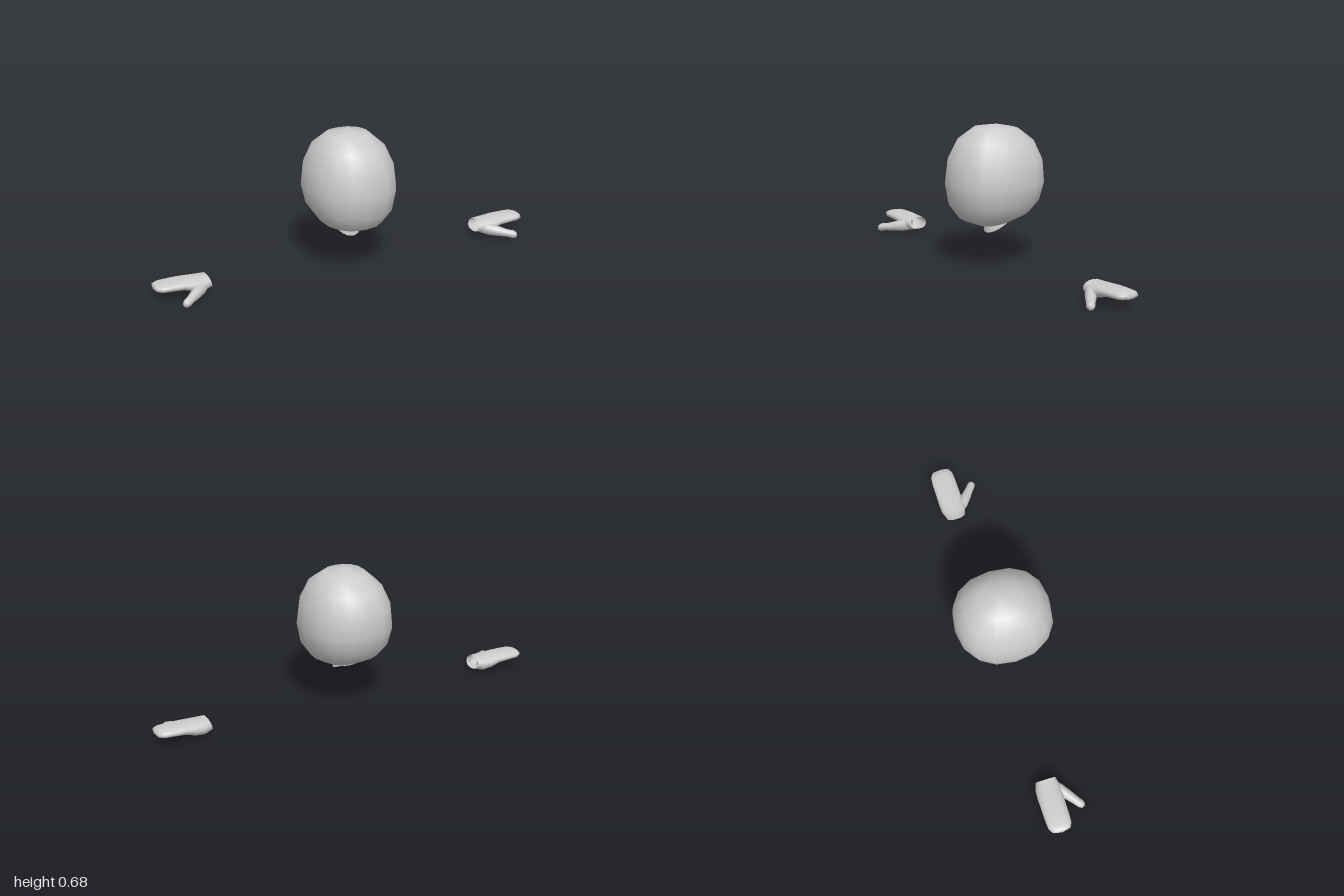
import * as THREE from 'three';

const material = new THREE.MeshStandardMaterial({ color: 0xcccccc, side: THREE.DoubleSide });

// Smooth skin over closed rings of equal length, with optional end points
function loft(name, rings, { start, end, mirror = false } = {}) {
  const n = rings[0].length, points = rings.flat(), index = [];
  const tri = (a, b, c) => index.push(...(mirror ? [a, c, b] : [a, b, c]));
  for (let i = 0; i < rings.length - 1; i++) {
    for (let j = 0; j < n; j++) {
      const k = (j + 1) % n, a = i * n, b = a + n;
      tri(a + j, b + j, b + k);
      tri(a + j, b + k, a + k);
    }
  }
  const last = (rings.length - 1) * n;
  if (start) {
    const p = points.push(start) - 1;
    for (let j = 0; j < n; j++) tri(p, j, (j + 1) % n);
  }
  if (end) {
    const p = points.push(end) - 1;
    for (let j = 0; j < n; j++) tri(last + j, p, last + (j + 1) % n);
  }
  const geometry = new THREE.BufferGeometry();
  const flat = points.flatMap(([x, y, z]) => [mirror ? -x : x, y, z]);
  geometry.setAttribute('position', new THREE.Float32BufferAttribute(flat, 3));
  geometry.setIndex(index);
  geometry.computeVertexNormals();
  const mesh = new THREE.Mesh(geometry, material);
  mesh.name = name;
  return mesh;
}

// Superellipse ring: calls place(cos, sin) for each corner
function ring(n, power, place) {
  const soften = (v) => Math.sign(v) * Math.abs(v) ** (2 / power);
  return Array.from({ length: n }, (_, j) => {
    const a = (j / n) * Math.PI * 2;
    return place(soften(Math.cos(a)), soften(Math.sin(a)));
  });
}

// Head: tilted rings between the face and back profiles
function head() {
  // front z, front y, back z, back y, half width
  const rows = [
    [0.092, 0.672, -0.113, 0.662, 0.098],
    [0.177, 0.612, -0.19, 0.6, 0.165],
    [0.224, 0.517, -0.23, 0.51, 0.206],
    [0.237, 0.407, -0.236, 0.412, 0.217],
    [0.22, 0.305, -0.212, 0.328, 0.198],
    [0.17, 0.235, -0.163, 0.268, 0.152],
    [0.092, 0.204, -0.09, 0.228, 0.082],
  ];
  const rings = rows.map(([fz, fy, bz, by, w]) => ring(16, 2.3, (c, s) => {
    const t = (1 - c) / 2;
    return [w * s, fy + (by - fy) * t, fz + (bz - fz) * t];
  }));
  return loft('head', rings, { start: [0, 0.685, -0.01], end: [0, 0.207, 0] });
}

// Neck: short open tube, cut to a point at the front
function neck() {
  const top = ring(16, 2, (c, s) => [0.06 * s, 0.225, -0.009 + 0.054 * c]);
  const bottom = ring(16, 2, (c, s) => [
    0.062 * s, 0.212 - 0.049 * ((1 + c) / 2) ** 1.8, -0.007 + 0.056 * c,
  ]);
  return loft('neck', [top, bottom]);
}

// Mitten hand: open wrist, flat fused fingers
function palm(mirror) {
  // x, bottom y, top y, back z, front z
  const rows = [
    [0.728, 0.03, 0.09, -0.068, 0.032],
    [0.765, 0.018, 0.089, -0.08, 0.042],
    [0.81, 0.024, 0.09, -0.083, 0.042],
    [0.86, 0.042, 0.091, -0.083, 0.039],
    [0.92, 0.047, 0.09, -0.083, 0.038],
    [0.962, 0.049, 0.089, -0.08, 0.035],
    [0.986, 0.055, 0.083, -0.066, 0.022],
  ];
  const rings = rows.map(([x, y0, y1, z0, z1], i) => ring(16, 2.3, (c, s) => [
    x + (i === 0 ? 0.008 * s : 0), // slanted wrist opening
    (y0 + y1) / 2 + s * (y1 - y0) / 2,
    (z0 + z1) / 2 + c * (z1 - z0) / 2,
  ]));
  return loft('palmAndFingers', rings, { end: [0.996, 0.068, -0.022], mirror });
}

// Thumb: tapered limb splaying forward and down from the palm
function thumb(mirror) {
  const a = new THREE.Vector3(0.75, 0.05, 0.005);
  const b = new THREE.Vector3(0.899, 0.021, 0.124);
  const up = new THREE.Vector3(0, 1, 0);
  const side = b.clone().sub(a).cross(up).normalize();
  // position along the thumb, half width, half height
  const rows = [[0, 0.02, 0.026], [0.25, 0.027, 0.03], [0.5, 0.025, 0.025],
    [0.72, 0.021, 0.019], [0.9, 0.02, 0.02], [0.97, 0.014, 0.014]];
  const rings = rows.map(([t, w, h]) => {
    const p = a.clone().lerp(b, t);
    return ring(10, 2, (c, s) => p.clone().addScaledVector(side, w * c)
      .addScaledVector(up, h * s).toArray());
  });
  return loft('thumb', rings, { end: b.toArray(), mirror });
}

export function createModel() {
  const model = new THREE.Group();
  model.name = 'headAndHands';
  model.add(head(), neck());
  for (const mirror of [false, true]) {
    const hand = new THREE.Group();
    hand.name = mirror ? 'rightHand' : 'leftHand';
    hand.add(palm(mirror), thumb(mirror));
    model.add(hand);
  }
  return model;
}
